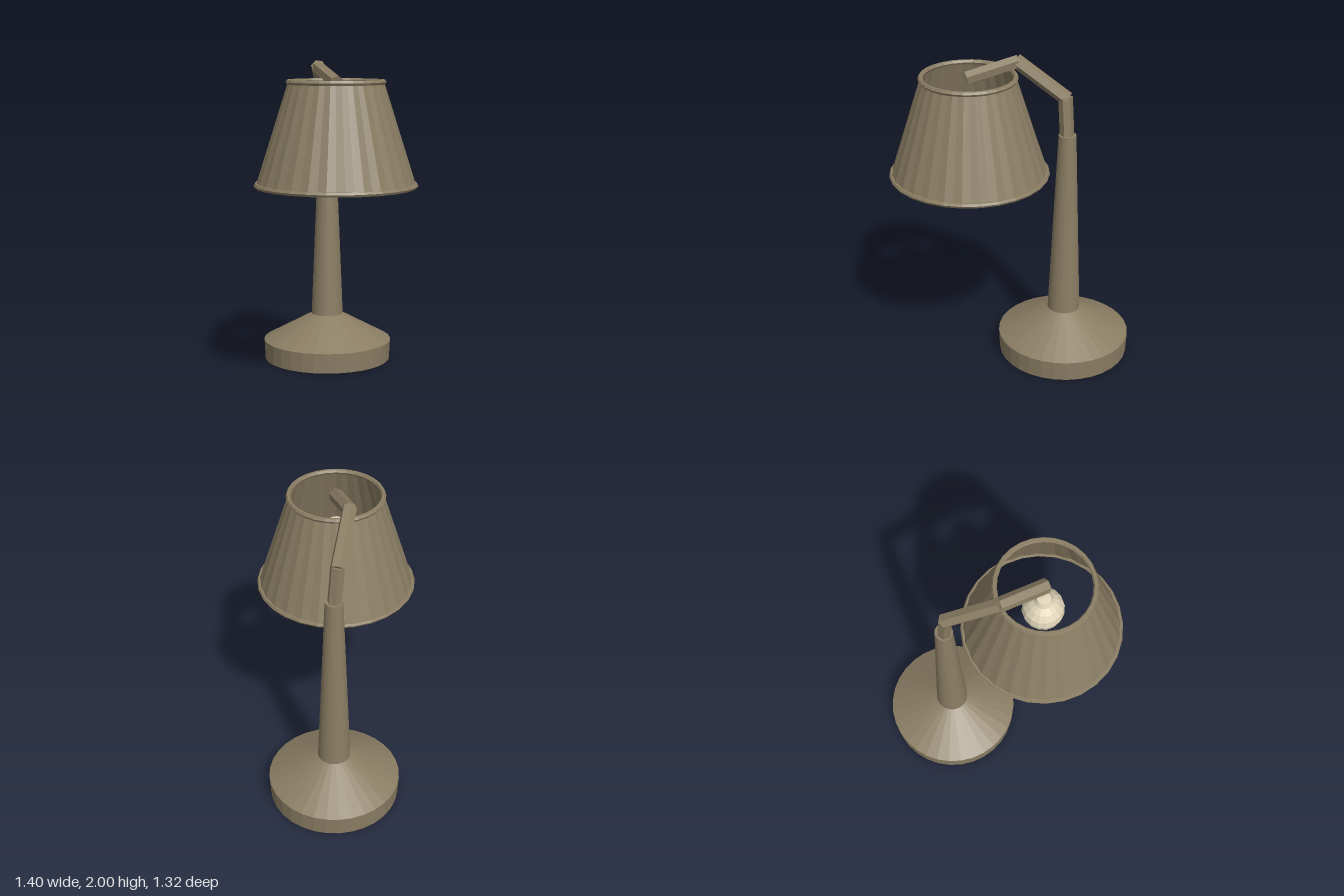
import * as THREE from 'three';

const metal = new THREE.MeshStandardMaterial({ name: 'bronze', color: 0x8a7d63, flatShading: true });
const fabric = new THREE.MeshStandardMaterial({ name: 'bronze shade', color: 0x8a7d63, flatShading: true, side: THREE.DoubleSide });
const glass = new THREE.MeshStandardMaterial({ name: 'warm glass', color: 0xe0d5b8, flatShading: true, side: THREE.DoubleSide });

function add(parent, name, geometry, material, x = 0, y = 0, z = 0) {
  const mesh = new THREE.Mesh(geometry, material);
  mesh.name = name;
  mesh.position.set(x, y, z);
  parent.add(mesh);
  return mesh;
}

const lathe = (points, sides) =>
  new THREE.LatheGeometry(points.map(([r, y]) => new THREE.Vector2(r, y)), sides);

// Six-sided rod between two points, extended a little into the joints
function rod(parent, name, a, b, radius, overlap) {
  const dir = b.clone().sub(a);
  const mesh = add(parent, name, new THREE.CylinderGeometry(radius, radius, dir.length() + overlap, 6), metal);
  mesh.position.copy(a).add(b).multiplyScalar(0.5);
  mesh.quaternion.setFromUnitVectors(new THREE.Vector3(0, 1, 0), dir.normalize());
}

export function createModel() {
  const lamp = new THREE.Group();
  lamp.name = 'deskLamp';

  // Weighted foot and tapered post
  const stand = new THREE.Group();
  stand.name = 'stand';
  stand.position.set(-0.275, 0, -0.235);
  lamp.add(stand);
  add(stand, 'foot', lathe([[0, 0], [0.42, 0], [0.426, 0.13], [0.105, 0.305], [0, 0.305]], 32), metal);
  add(stand, 'post', lathe([[0.105, 0.3], [0.055, 1.52], [0, 1.52]], 32), metal);

  // Jointed arm
  const arm = new THREE.Group();
  arm.name = 'arm';
  lamp.add(arm);
  const joints = [
    [-0.275, 1.45, -0.237], [-0.275, 1.755, -0.207], [-0.085, 1.955, 0.03], [0.2, 1.872, 0.155],
  ].map(p => new THREE.Vector3(...p));
  ['lowerArm', 'middleArm', 'upperArm'].forEach((name, i) =>
    rod(arm, name, joints[i], joints[i + 1], 0.045, i === 1 ? 0.03 : 0.01));

  // Pleated shade with a rolled rim at each end
  const head = new THREE.Group();
  head.name = 'head';
  head.position.set(0.194, 0, 0.152);
  lamp.add(head);
  const pleats = 28;
  const cone = new THREE.CylinderGeometry(0.29, 0.488, 0.625, pleats * 2, 1, true);
  const pos = cone.attributes.position;
  for (let i = 0; i < pos.count; i++) {
    const k = i % (pleats * 2 + 1);
    const s = k % 2 ? 0.99 : 1.005;
    pos.setXYZ(i, pos.getX(i) * s, pos.getY(i), pos.getZ(i) * s);
  }
  cone.computeVertexNormals();
  add(head, 'shade', cone, fabric, 0, 1.5625, 0);
  for (const [name, r, y] of [['topRim', 0.29, 1.875], ['bottomRim', 0.488, 1.25]]) {
    add(head, name, new THREE.TorusGeometry(r, 0.016, 6, pleats), metal, 0, y, 0).rotation.x = Math.PI / 2;
  }

  // Bulb with a short neck
  const bulb = [[0, 1.41], [0.05, 1.42], [0.092, 1.448], [0.12, 1.49], [0.13, 1.54],
    [0.12, 1.59], [0.092, 1.632], [0.058, 1.665], [0.042, 1.7], [0, 1.705]];
  add(head, 'bulb', lathe(bulb, 16), glass);

  return lamp;
}
